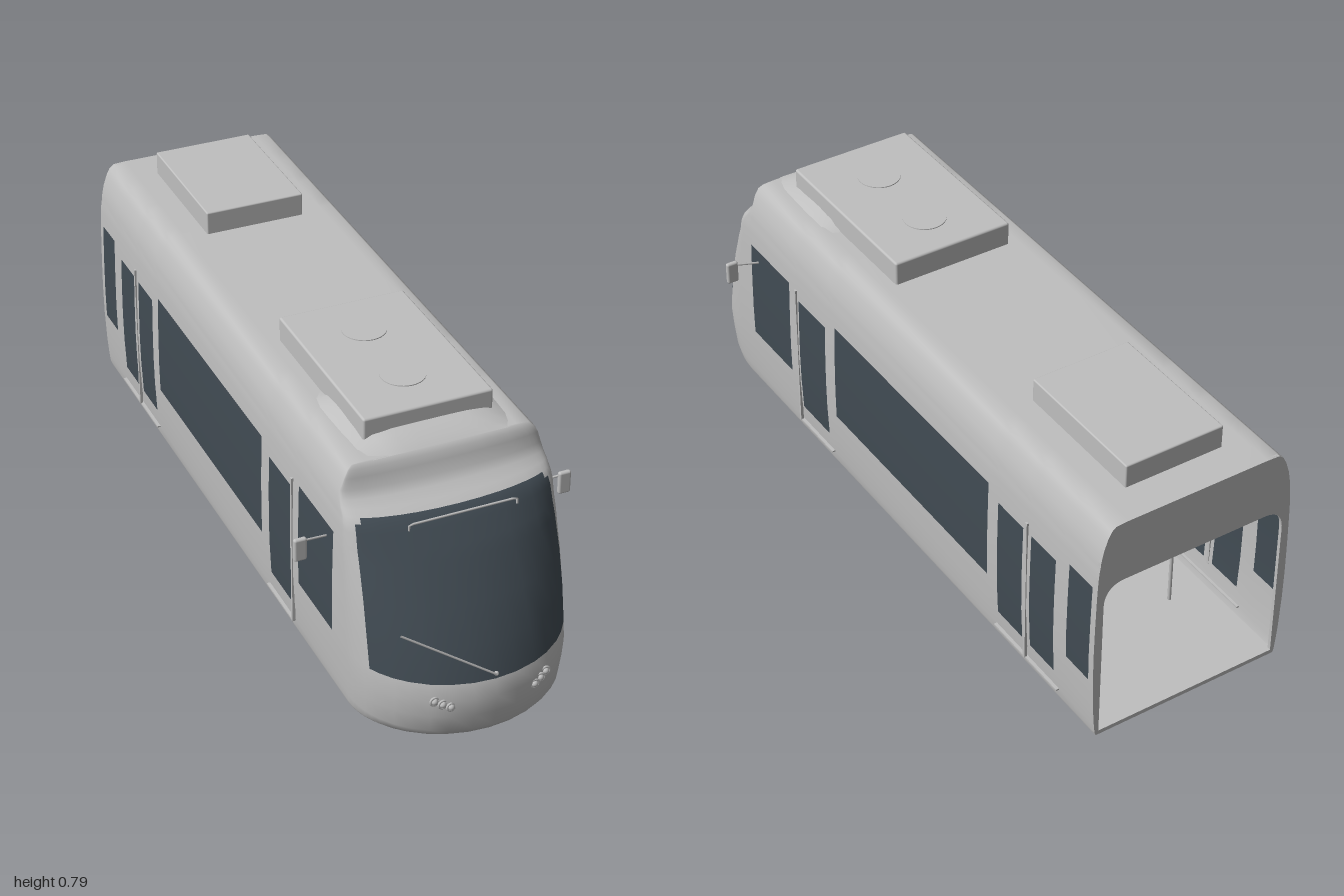
import * as THREE from 'three';
import { RoundedBoxGeometry } from 'three/addons/geometries/RoundedBoxGeometry.js';

// Body levels: height, half width, nose tip z, nose length
const ROWS = [
  [.065, .27, .945, .22], [.075, .273, .965, .23], [.1, .276, .985, .24], [.15, .28, .996, .25],
  [.2, .282, 1, .25], [.245, .284, .99, .25], [.33, .285, .955, .22], [.42, .284, .908, .18],
  [.51, .282, .85, .135], [.54, .281, .828, .12], [.58, .279, .797, .09], [.6, .277, .78, .08],
  [.612, .275, .765, .072], [.625, .274, .742, .06], [.64, .271, .712, .04], [.66, .267, .695, .03],
  [.69, .257, .685, .018], [.71, .247, .677, .012], [.72, .235, .667, .007], [.722, .2, .662, .002], [.722, 0, .662, .002],
];
// Stations along the side, then width ratios around the nose
const SIDE = [-1, -.98, -.885, -.83, -.725, -.69, -.58, -.535, .21, .26, .4, .45, .66];
const NOSE = [1, .995, .98, .955, .925, .88, .8, .7, .55, .4, .2, 0];
const H = SIDE.length + NOSE.length, N = 2 * H - 1;
// Side glass: z from, z to, y from, y to
const WINDOWS = [
  [.45, .66, .245, .54], [.26, .4, .15, .51], [-.535, .21, .245, .54],
  [-.69, -.58, .15, .51], [-.83, -.725, .15, .51], [-.98, -.885, .245, .54],
];

// Point of the shell on one level
function shellPoint([y, w, f, L], i) {
  const k = i < H ? i : N - 1 - i, s = i < H ? 1 : -1;
  if (k < SIDE.length) return [s * w, y, Math.min(SIDE[k], f - L)];
  const r = NOSE[k - SIDE.length];
  return [s * w * r, y, f - L + L * Math.sqrt(1 - r * r)];
}

function isGlass(k, y) {
  if (k < SIDE.length - 1) {
    const z = (SIDE[k] + SIDE[k + 1]) / 2;
    return WINDOWS.some(([a, b, c, d]) => z > a && z < b && y > c && y < d);
  }
  const n = k - SIDE.length;
  if (n < 0 || NOSE[n] > .93) return false;
  return y > .245 && y < (NOSE[n] > .9 ? .6 : .612);
}

function shellGeometry() {
  const pos = [], parts = [[], []];
  ROWS.forEach(row => { for (let i = 0; i < N; i++) pos.push(...shellPoint(row, i)); });
  for (let j = 0; j < ROWS.length - 1; j++) {
    for (let i = 0; i < N - 1; i++) {
      const k = i < H - 1 ? i : N - 2 - i;
      const a = j * N + i, b = a + 1, d = a + N, c = d + 1;
      parts[isGlass(k, (ROWS[j][0] + ROWS[j + 1][0]) / 2) ? 1 : 0].push(a, d, c, a, c, b);
    }
  }
  const g = new THREE.BufferGeometry();
  g.setAttribute('position', new THREE.Float32BufferAttribute(pos, 3));
  g.setIndex([...parts[0], ...parts[1]]);
  g.addGroup(0, parts[0].length, 0);
  g.addGroup(parts[0].length, parts[1].length, 1);
  g.computeVertexNormals();
  return g;
}

// Nose surface z at a given x and y
function noseZ(x, y) {
  const j = ROWS.findIndex(r => r[0] > y), a = ROWS[j - 1], b = ROWS[j], t = (y - a[0]) / (b[0] - a[0]);
  const [w, f, L] = [1, 2, 3].map(n => a[n] + (b[n] - a[n]) * t);
  return f - L + L * Math.sqrt(1 - (x / w) ** 2);
}

export function createModel() {
  const tram = new THREE.Group();
  const body = new THREE.MeshStandardMaterial({ color: 0xbfbfbf, side: THREE.DoubleSide });
  body.name = 'light grey';
  const glass = new THREE.MeshStandardMaterial({ color: 0x414b53, side: THREE.DoubleSide });
  glass.name = 'dark glass';

  const add = (name, geo, x = 0, y = 0, z = 0, mat = body) => {
    const m = new THREE.Mesh(geo, mat);
    m.name = name;
    m.position.set(x, y, z);
    tram.add(m);
    return m;
  };
  const box = (name, w, h, d, x, y, z) => add(name, new THREE.BoxGeometry(w, h, d), x, y, z);
  const rod = (name, r, ...pts) => {
    const v = pts.map(p => new THREE.Vector3(...p)), path = new THREE.CurvePath();
    for (let i = 1; i < v.length; i++) path.add(new THREE.LineCurve3(v[i - 1], v[i]));
    return add(name, new THREE.TubeGeometry(path, 8 * (v.length - 1), r, 8));
  };

  // Shell with glazing
  add('bodyShell', shellGeometry(), 0, 0, 0, [body, glass]);

  // Floor slab following the plan of the nose
  const plan = new THREE.Shape(Array.from({ length: N }, (_, i) => {
    const p = shellPoint(ROWS[0], i);
    return new THREE.Vector2(p[0], p[2]);
  }));
  add('floor', new THREE.ExtrudeGeometry(plan, { depth: .01, bevelEnabled: false }).rotateX(Math.PI / 2), 0, .075);

  // Rear frame with an open gangway
  const rim = ROWS.slice(0, -1);
  const frame = new THREE.Shape([
    ...rim.map(r => new THREE.Vector2(r[1], r[0])),
    ...rim.slice().reverse().map(r => new THREE.Vector2(-r[1], r[0])),
  ]);
  const gap = new THREE.Path();
  gap.moveTo(-.262, .077).lineTo(.262, .077).lineTo(.262, .48);
  gap.quadraticCurveTo(.262, .54, .21, .545).lineTo(-.21, .545).quadraticCurveTo(-.262, .54, -.262, .48);
  frame.holes.push(gap);
  add('rearFrame', new THREE.ExtrudeGeometry(frame, { depth: .01, bevelEnabled: false }), 0, 0, -1);

  // Interior
  box('ceiling', .53, .006, 1.6, 0, .6, -.19);
  box('cabPartition', .52, .2, .012, 0, .175, .5);
  box('dashboard', .44, .17, .1, 0, .16, .72);
  for (const s of [-1, 1]) {
    for (const z of [-.71, -.3, .15, .41]) rod('grabPole', .005, [s * .16, .075, z], [s * .16, .6, z]);
    rod('ceilingRail', .004, [s * .16, .53, -.75], [s * .16, .53, .42]);
  }

  // Roof units, fans and front fairing
  add('frontRoofUnit', new RoundedBoxGeometry(.345, .075, .52, 2, .006), 0, .75, .33);
  add('rearRoofUnit', new RoundedBoxGeometry(.28, .072, .39, 2, .004), 0, .75, -.705);
  for (const z of [.21, .44]) add('roofFan', new THREE.CylinderGeometry(.058, .058, .004, 32), 0, .788, z);
  const fairing = [], fi = [], M = 9;
  const stations = [[.335, 0, .18], [.36, .012, .198], [.4, .03, .205], [.46, .037, .205], [.54, .032, .203], [.61, .022, .2], [.645, .012, .19], [.665, 0, .18]];
  stations.forEach(([z, h, w], j) => {
    for (let i = 0; i < M; i++) {
      const u = i / (M - 1) * 2 - 1;
      fairing.push(u * w, .721 + h * (1 - Math.abs(u) ** 5), z);
      if (i && j) {
        const c = j * M + i, a = c - M;
        fi.push(a - 1, c - 1, c, a - 1, c, a);
      }
    }
  });
  const fg = new THREE.BufferGeometry();
  fg.setAttribute('position', new THREE.Float32BufferAttribute(fairing, 3));
  fg.setIndex(fi);
  fg.computeVertexNormals();
  add('roofFairing', fg);

  // Windscreen fittings
  rod('wiper', .003, [0, .26, .995], [-.235, .415, .95]);
  add('wiperPivot', new THREE.SphereGeometry(.006, 12, 8), 0, .26, .99);
  rod('signRail', .003, [-.143, .588, .79], [-.143, .604, .79], [.143, .604, .79], [.143, .588, .79]);

  for (const s of [-1, 1]) {
    // Headlights
    for (const [x, y] of [[.112, .185], [.131, .193], [.149, .201]]) {
      const z = noseZ(x, y);
      add('headlightRing', new THREE.TorusGeometry(.011, .003, 8, 20), s * x, y, z);
      add('headlightLens', new THREE.SphereGeometry(.009, 16, 10), s * x, y, z);
    }
    // Mirrors
    rod('mirrorArm', .003, [s * .278, .503, .62], [s * .345, .514, .632]);
    add('mirror', new RoundedBoxGeometry(.034, .064, .014, 3, .006), s * .357, .493, .634);
    // Door seals and sills
    for (const z of [.411, -.708]) box('doorSeal', .008, .44, .008, s * .283, .32, z);
    box('frontDoorSill', .016, .004, .17, s * .277, .1, .325);
    box('rearDoorSill', .016, .004, .28, s * .277, .1, -.71);
  }

  // Running gear: lower halves below the floor
  const half = (r, w) => new THREE.CylinderGeometry(r, r, w, 32, 1, false, Math.PI, Math.PI).rotateZ(Math.PI / 2);
  for (const z of [0, -.385]) {
    rod('axle', .008, [-.16, .06, z], [.16, .06, z]);
    for (const s of [-1, 1]) {
      add('wheelTread', half(.058, .022), s * .165, .066, z);
      add('wheelFlange', half(.066, .008), s * .153, .066, z);
      add('wheelHub', half(.016, .02), s * .185, .066, z);
      add('brakeDisc', half(.038, .01), s * .102, .066, z);
    }
  }
  for (const z of [-.1, -.29]) {
    add('motor', new THREE.CylinderGeometry(.018, .018, .155, 20).rotateZ(Math.PI / 2), -.013, .056, z);
  }
  return tram;
}
